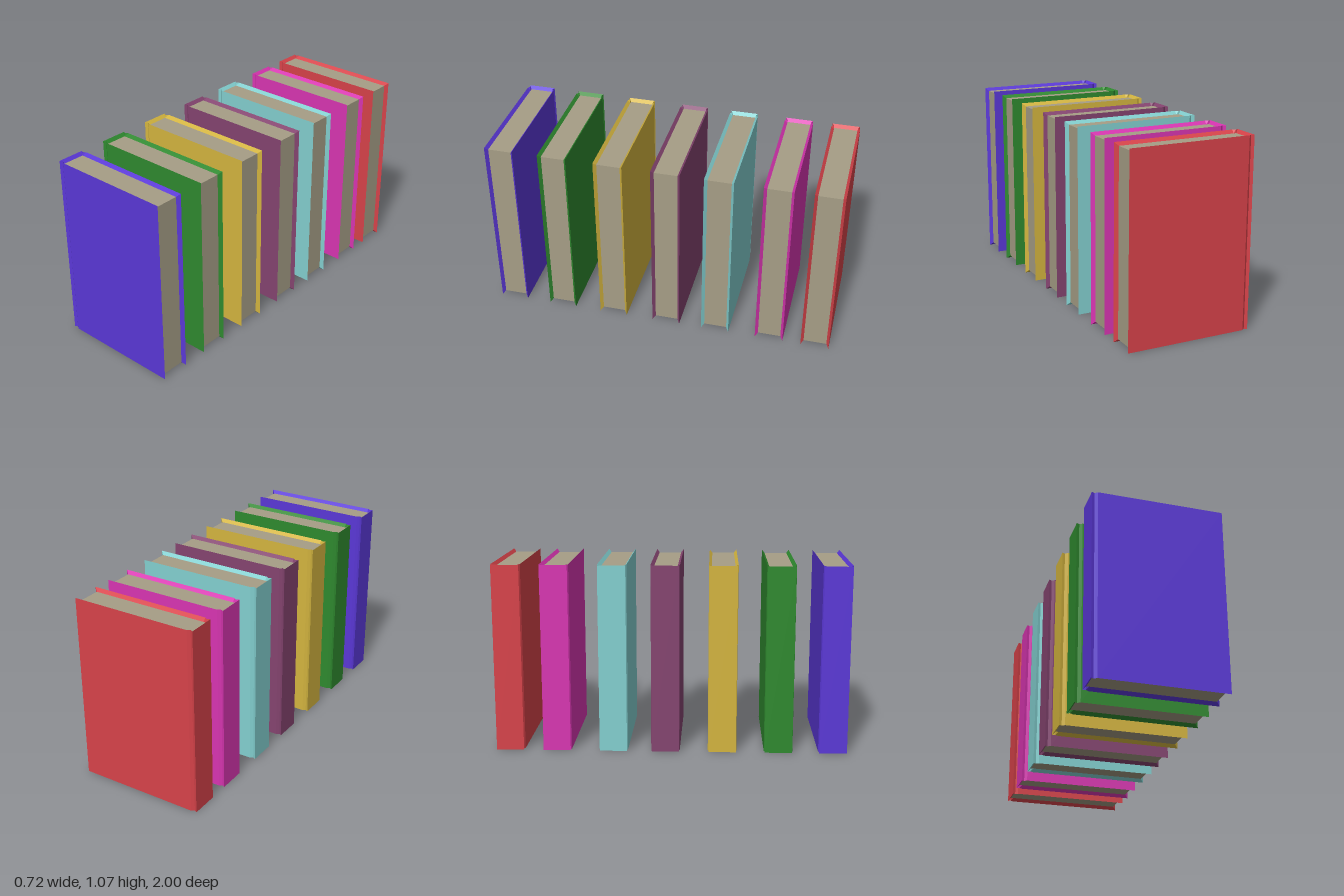
import * as THREE from 'three';

const HEIGHT = 1.065, HALF = 0.0815, INSET = 0.018;
const PAGE = { left: -0.346, right: 0.343, half: 0.066 };

const material = (name, color) => {
  const m = new THREE.MeshStandardMaterial({ color });
  m.name = name;
  return m;
};

// Half outline of the cover, fore edge to spine: [outer x, outer z, inner x, inner z]
const halfOutline = [
  [0.362, HALF, PAGE.right, PAGE.half],
  [-0.33, HALF, -0.33, PAGE.half],
  [-0.346, 0.07, PAGE.left, PAGE.half], // hinge groove
  [-0.362, 0.078, PAGE.left, PAGE.half],
];

// Hard cover wrapped round three sides, with rims sloping in to the pages
function coverGeometry() {
  const back = halfOutline.map(([a, b, c, d]) => [a, -b, c, -d]).reverse();
  const sections = [...halfOutline, ...back].map(([ox, oz, ix, iz]) => [
    [ix, HEIGHT - INSET, iz],
    [ox, HEIGHT, oz],
    [ox, 0, oz],
    [ix, INSET, iz],
  ]);
  const positions = [];
  const quad = (a, b, c, d) => positions.push(...a, ...b, ...c, ...a, ...c, ...d);
  for (let i = 0; i < sections.length - 1; i++) {
    const s = sections[i], t = sections[i + 1];
    for (let j = 0; j < 3; j++) quad(s[j], t[j], t[j + 1], s[j + 1]);
  }
  // Sloping fore-edge rims
  const first = sections[0], last = sections[sections.length - 1];
  quad(first[1], first[2], first[3], first[0]);
  quad(last[0], last[3], last[2], last[1]);

  const geometry = new THREE.BufferGeometry();
  geometry.setAttribute('position', new THREE.Float32BufferAttribute(positions, 3));
  geometry.computeVertexNormals();
  return geometry;
}

export function createModel() {
  const model = new THREE.Group();
  model.name = 'bookRow';

  const pageMaterial = material('page grey', 0xa69e86);
  const cover = coverGeometry();
  const pages = new THREE.BoxGeometry(PAGE.right - PAGE.left, HEIGHT - 2 * INSET, 2 * PAGE.half);
  pages.translate((PAGE.left + PAGE.right) / 2, HEIGHT / 2, 0);

  // One book per colour, front to back
  const books = [
    ['blue', 0x5b38d8, 0.9185],
    ['green', 0x2f8a2f, 0.61],
    ['yellow', 0xd4b53f, 0.291],
    ['purple', 0x854470, -0.032],
    ['teal', 0x83d0d0, -0.328],
    ['magenta', 0xd935b2, -0.65],
    ['red', 0xd8434a, -0.9185],
  ];
  for (const [name, color, z] of books) {
    const book = new THREE.Group();
    book.name = `${name}Book`;
    book.position.z = z;
    const coverMesh = new THREE.Mesh(cover, material(`${name} cover`, color));
    coverMesh.name = 'cover';
    const pageMesh = new THREE.Mesh(pages, pageMaterial);
    pageMesh.name = 'pages';
    book.add(coverMesh, pageMesh);
    model.add(book);
  }
  return model;
}
